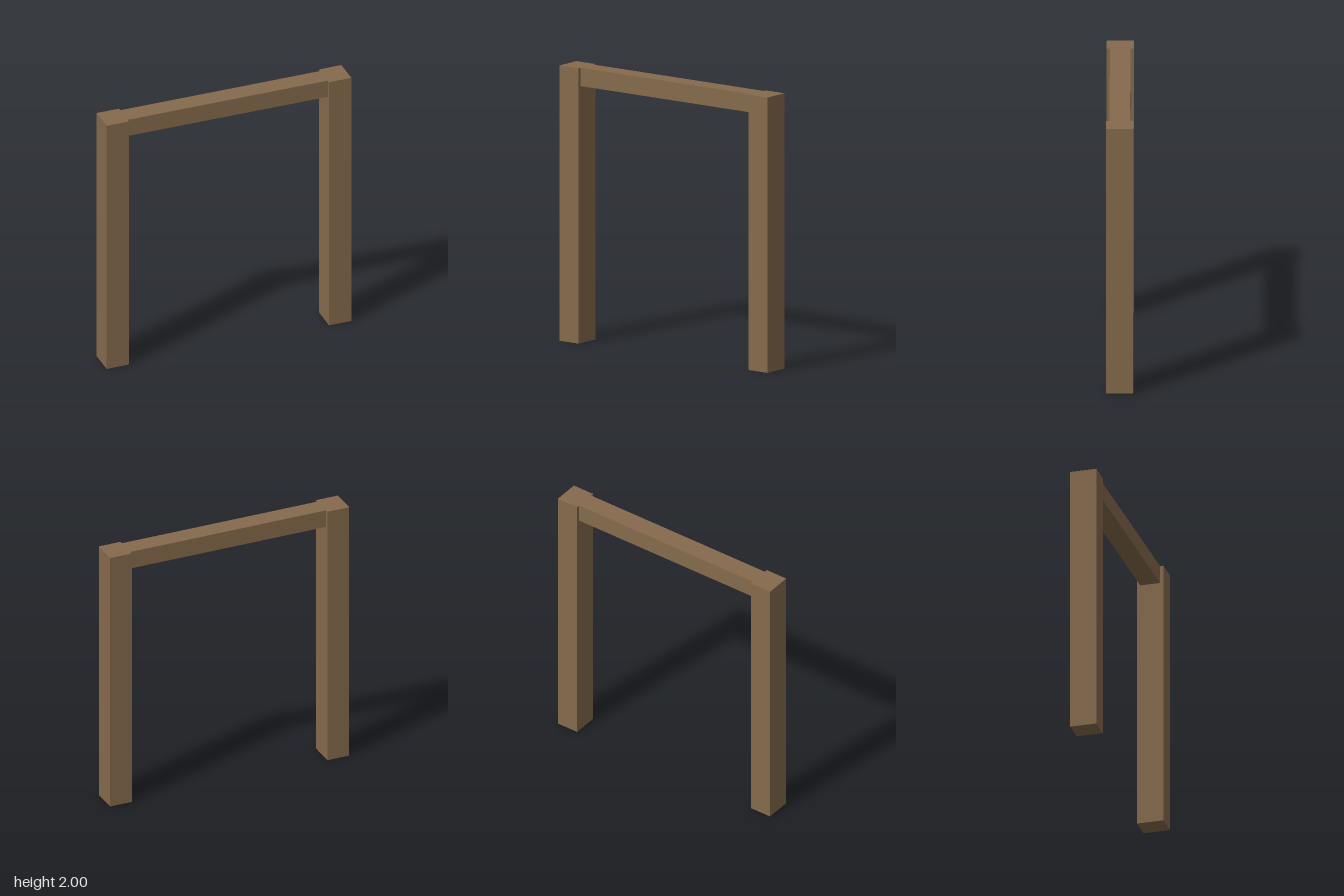
import * as THREE from 'three';

export function createModel() {
  const group = new THREE.Group();
  const wood = new THREE.MeshStandardMaterial({ color: 0x856a4c });
  wood.name = 'brown wood';

  const addBox = (name, w, h, d, x, y) => {
    const mesh = new THREE.Mesh(new THREE.BoxGeometry(w, h, d), wood);
    mesh.name = name;
    mesh.position.set(x, y, 0);
    group.add(mesh);
  };

  // Upright posts
  addBox('leftPost', 0.17, 2, 0.195, 0.85, 1);
  addBox('rightPost', 0.17, 2, 0.195, -0.85, 1);

  // Lintel between the posts, flush with their tops
  addBox('lintel', 1.53, 0.133, 0.147, 0, 2 - 0.133 / 2);

  return group;
}
